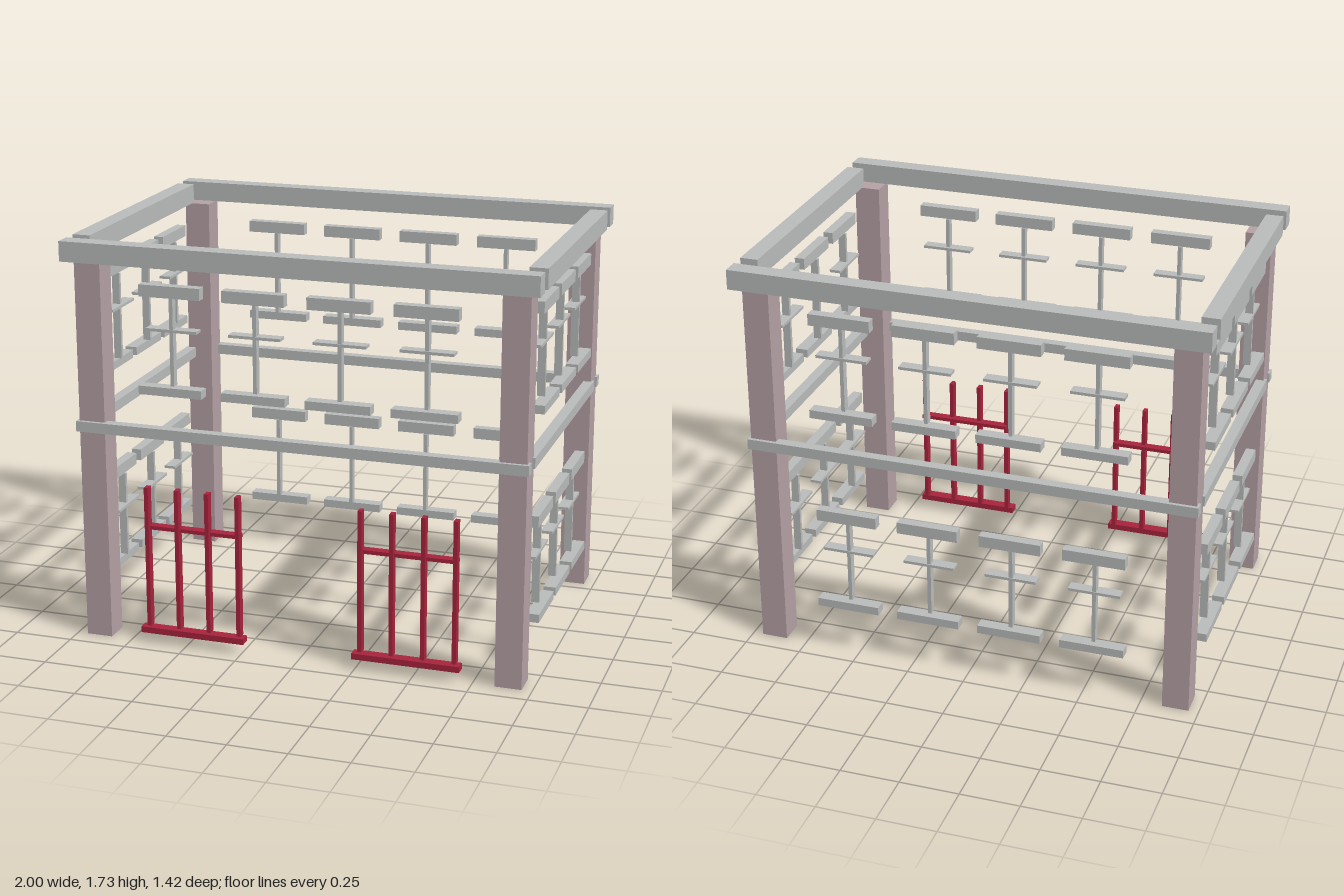
import * as THREE from 'three';

const HALF_X = 0.955; // outer faces of the corner posts
const HALF_Z = 0.665;

export function createModel() {
  const model = new THREE.Group();
  model.name = 'timberFrame';

  const mat = (name, color) => {
    const m = new THREE.MeshStandardMaterial({ color });
    m.name = name;
    return m;
  };
  const grey = mat('paleGrey', 0xbabcbc);
  const mauve = mat('mauveStone', 0xb5a1a5);
  const red = mat('crimson', 0xa8233c);

  // box given by its lower and upper bounds on each axis
  const box = (parent, name, material, [x0, x1], [y0, y1], [z0, z1]) => {
    const mesh = new THREE.Mesh(new THREE.BoxGeometry(x1 - x0, y1 - y0, z1 - z0), material);
    mesh.position.set((x0 + x1) / 2, (y0 + y1) / 2, (z0 + z1) / 2);
    mesh.name = name;
    parent.add(mesh);
  };
  const span = (c, w) => [c - w / 2, c + w / 2];

  // corner posts
  for (const sx of [-1, 1]) for (const sz of [-1, 1])
    box(model, 'cornerPost', mauve, span(sx * 0.9, 0.113), [0, 1.645], span(sz * 0.61, 0.11));

  // top and middle beams around the frame
  for (const s of [-1, 1]) {
    box(model, 'topLongBeam', grey, [-1, 1], [1.645, 1.73], span(s * 0.673, 0.076));
    box(model, 'topSideBeam', grey, span(s * 0.962, 0.076), [1.645, 1.73], [-0.575, 0.575]);
    box(model, 'middleLongBeam', grey, [-0.967, 0.967], [0.915, 0.96], span(s * 0.658, 0.045));
    box(model, 'middleSideBeam', grey, span(s * 0.945, 0.045), [0.915, 0.96], [-0.575, 0.575]);
  }

  // window frame: lintel, sill, mullion and crossbar; z = 0 is the outer post face
  const addWindow = (wall, x, y) => {
    const w = new THREE.Group();
    w.name = 'windowFrame';
    w.position.set(x, y, 0);
    box(w, 'lintel', grey, span(0, 0.265), [0.41, 0.46], [-0.038, 0.005]);
    box(w, 'sill', grey, span(0, 0.275), [0, 0.036], [-0.035, 0.018]);
    box(w, 'mullion', grey, span(0, 0.016), [0.036, 0.41], [-0.045, -0.012]);
    box(w, 'crossbar', grey, span(0, 0.222), [0.264, 0.276], [-0.058, -0.008]);
    wall.add(w);
  };

  const addWall = (name, angle, distance, count, step, levels) => {
    const pivot = new THREE.Group();
    pivot.name = name;
    const wall = new THREE.Group();
    wall.name = name + 'Windows';
    wall.position.z = distance;
    for (const y of levels)
      for (let i = 0; i < count; i++) addWindow(wall, (i - (count - 1) / 2) * step, y);
    pivot.add(wall);
    pivot.rotation.y = angle;
    model.add(pivot);
  };
  const LOW = 0.21, HIGH = 1.105;
  addWall('frontWall', 0, HALF_Z, 4, 0.36, [HIGH]);
  addWall('backWall', Math.PI, HALF_Z, 4, 0.36, [LOW, HIGH]);
  addWall('leftWall', Math.PI / 2, HALF_X, 3, 0.315, [LOW, HIGH]);
  addWall('rightWall', -Math.PI / 2, HALF_X, 3, 0.315, [LOW, HIGH]);

  // pair of barred gates at the front
  for (const s of [-1, 1]) {
    const gate = new THREE.Group();
    gate.name = s > 0 ? 'leftGate' : 'rightGate';
    gate.position.x = s * 0.468;
    box(gate, 'gateBase', red, span(0, 0.46), [0.046, 0.072], [0.635, 0.682]);
    box(gate, 'gateRail', red, span(0, 0.415), [0.502, 0.518], [0.605, 0.645]);
    for (let i = 0; i < 4; i++)
      box(gate, 'gateBar', red, span((i - 1.5) * 0.1345, 0.018), [0.072, 0.69], [0.625, 0.66]);
    model.add(gate);
  }
  return model;
}
